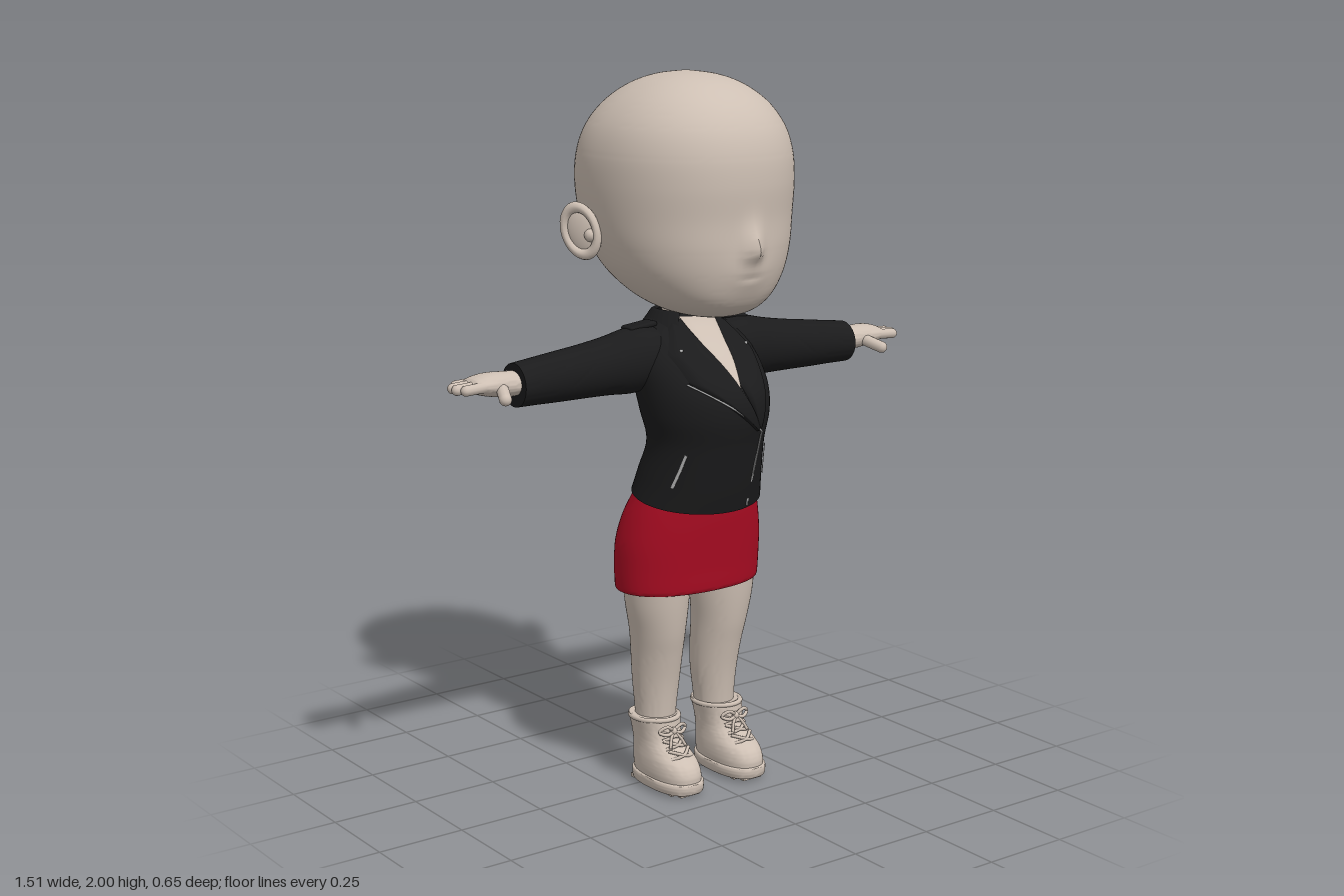
import * as THREE from 'three';
import { toCreasedNormals, mergeGeometries } from 'three/addons/utils/BufferGeometryUtils.js';
import { RoundedBoxGeometry } from 'three/addons/geometries/RoundedBoxGeometry.js';

const paint = (name, color, side = THREE.FrontSide) => {
  const m = new THREE.MeshStandardMaterial({ color, side });
  m.name = name;
  return m;
};

// Smooth blend through rows of numbers, t in 0..1
function sample(rows, t) {
  const n = rows.length - 1, f = Math.min(Math.max(t, 0), 1) * n;
  const i = Math.min(Math.floor(f), n - 1), u = f - i;
  const [a, b, c, d] = [rows[Math.max(i - 1, 0)], rows[i], rows[i + 1], rows[Math.min(i + 2, n)]];
  return b.map((_, k) => b[k] + 0.5 * u * (c[k] - a[k] + u * (2 * a[k] - 5 * b[k] + 4 * c[k] - d[k] + u * (3 * (b[k] - c[k]) + d[k] - a[k]))));
}

// Closed loft going up y; each row is [y, halfWidth, zFront, zBack, xCentre]
function loft(rows, { p = 2, warp, steps = 6, round = 48 } = {}) {
  const full = rows.map(r => [r[0], r[1], r[2], r[3], r[4] || 0]);
  const rings = (rows.length - 1) * steps, pos = [], idx = [];
  const pw = v => Math.sign(v) * Math.abs(v) ** (2 / p);
  for (let j = 0; j <= rings; j++) {
    const [y, rx, zf, zb, cx] = sample(full, j / rings);
    for (let i = 0; i < round; i++) {
      const a = (i / round) * Math.PI * 2;
      const v = new THREE.Vector3(cx + rx * pw(Math.cos(a)), y, (zf + zb) / 2 + (zf - zb) / 2 * pw(Math.sin(a)));
      if (warp) warp(v);
      pos.push(v.x, v.y, v.z);
      const k = (i + 1) % round;
      if (j < rings) {
        const q = j * round, r = q + round;
        idx.push(q + i, r + i, q + k, q + k, r + i, r + k);
      }
    }
  }
  // end caps
  for (const top of [0, 1]) {
    const q = top * rings * round, c = pos.length / 3, m = [0, 0, 0];
    for (let i = 0; i < round; i++) for (let k = 0; k < 3; k++) m[k] += pos[(q + i) * 3 + k] / round;
    pos.push(...m);
    for (let i = 0; i < round; i++) {
      const k = (i + 1) % round;
      idx.push(c, q + (top ? k : i), q + (top ? i : k));
    }
  }
  const g = new THREE.BufferGeometry();
  g.setAttribute('position', new THREE.Float32BufferAttribute(pos, 3));
  g.setIndex(idx);
  return toCreasedNormals(g, 0.9);
}

// Mirror image across x = 0 with the corner order kept outward
function mirrored(geo) {
  const g = geo.index ? geo.toNonIndexed() : geo.clone();
  for (const key of ['position', 'normal']) {
    const at = g.attributes[key];
    for (let i = 0; i < at.count; i += 3) {
      const v = [0, 2, 1].map(k => [-at.getX(i + k), at.getY(i + k), at.getZ(i + k)]);
      v.forEach((w, k) => at.setXYZ(i + k, ...w));
    }
  }
  return g;
}

const merge = list => mergeGeometries(list.map(g => {
  const n = g.index ? g.toNonIndexed() : g;
  n.deleteAttribute('uv');
  return n;
}));
const tube = (pts, r, n = 16) => new THREE.TubeGeometry(new THREE.CatmullRomCurve3(pts.map(q => new THREE.Vector3(...q))), n, r, 8);

const TORSO = [
  [0.85, 0.193, 0.2, -0.105], [0.91, 0.18, 0.22, -0.092], [1.0, 0.166, 0.246, -0.066], [1.08, 0.18, 0.263, -0.09],
  [1.15, 0.186, 0.252, -0.113], [1.22, 0.185, 0.195, -0.118], [1.28, 0.165, 0.12, -0.114], [1.32, 0.115, 0.076, -0.106],
  [1.345, 0.08, 0.058, -0.09]];

// Front surface of the torso at (x, y)
function frontZ(x, y) {
  let lo = 0, hi = 1;
  for (let i = 0; i < 24; i++) {
    const m = (lo + hi) / 2;
    if (sample(TORSO, m)[0] < y) lo = m; else hi = m;
  }
  const [, rx, zf, zb] = sample(TORSO, lo);
  return (zf + zb) / 2 + (zf - zb) / 2 * Math.sqrt(Math.max(0, 1 - (x / rx) ** 2));
}

// Raised cloth strip between two (x, y) edge lines, laid on the torso front
function strip(edgeA, edgeB, lift, base = 0) {
  const g = new THREE.PlaneGeometry(1, 1, 10, (edgeA.length - 1) * 8), at = g.attributes.position;
  const along = (e, t) => {
    const f = t * (e.length - 1), i = Math.min(Math.floor(f), e.length - 2), u = f - i;
    return [0, 1].map(k => e[i][k] + (e[i + 1][k] - e[i][k]) * u);
  };
  for (let i = 0; i < at.count; i++) {
    const u = at.getX(i) + 0.5, t = 0.5 - at.getY(i), a = along(edgeA, t), b = along(edgeB, t);
    const x = a[0] + (b[0] - a[0]) * u, y = a[1] + (b[1] - a[1]) * u;
    at.setXYZ(i, x, y, frontZ(x, y) + base + lift * Math.min(1, u * 10, (1 - u) * 10));
  }
  g.computeVertexNormals();
  return g;
}
const line = (pts, wx, wy, base) => strip(pts.map(([x, y]) => [x - wx, y - wy]), pts.map(([x, y]) => [x + wx, y + wy]), 0.003, base);

export function createModel() {
  const skin = paint('skin', 0xcdbfb3, THREE.DoubleSide), black = paint('blackLeather', 0x1b1b1c, THREE.DoubleSide);
  const red = paint('redCloth', 0xaa0c22), metal = paint('zipMetal', 0xb4b4b4, THREE.DoubleSide);
  const model = new THREE.Group();
  const add = (name, geo, mat) => {
    const m = new THREE.Mesh(geo, mat);
    m.name = name;
    model.add(m);
  };
  const pair = (name, geo, mat) => {
    add(name + 'Left', geo, mat);
    add(name + 'Right', mirrored(geo), mat);
  };

  // head with a small nose and mouth crease
  const bump = (v, y, sx, sy) => Math.exp(-((v.x / sx) ** 2) - ((v.y - y) / sy) ** 2);
  add('head', loft([
    [1.346, 0.004, 0.13, 0.12], [1.352, 0.07, 0.19, 0.03], [1.372, 0.13, 0.238, -0.05], [1.41, 0.186, 0.268, -0.13],
    [1.47, 0.234, 0.286, -0.212], [1.54, 0.262, 0.295, -0.27], [1.62, 0.277, 0.296, -0.307], [1.71, 0.283, 0.302, -0.322],
    [1.79, 0.277, 0.296, -0.312], [1.86, 0.253, 0.272, -0.281], [1.92, 0.207, 0.226, -0.228], [1.965, 0.145, 0.16, -0.158],
    [1.99, 0.078, 0.086, -0.084], [2.0, 0.004, 0.005, -0.005]], {
    p: 2.15, steps: 8, round: 96,
    warp: v => {
      if (v.z < 0.15) return;
      v.z += 0.035 * bump(v, 1.54, 0.028, v.y > 1.54 ? 0.06 : 0.028) + 0.012 * bump(v, 1.48, 0.06, 0.05) - 0.006 * bump(v, 1.468, 0.03, 0.007);
    } }), skin);

  // ears: cupped disc with a rim
  const ear = merge([
    new THREE.SphereGeometry(1, 24, 16).scale(0.018, 0.07, 0.05),
    new THREE.TorusGeometry(0.05, 0.012, 10, 32).rotateY(Math.PI / 2).scale(1.2, 1.3, 0.92).translate(0.01, 0, 0),
    new THREE.SphereGeometry(0.018, 12, 8).translate(0.012, -0.02, 0.025)]);
  pair('ear', ear.rotateX(-0.35).rotateY(-0.55).translate(0.294, 1.58, -0.07), skin);

  add('neck', loft([[1.2, 0.075, 0.06, -0.075], [1.3, 0.066, 0.058, -0.07], [1.4, 0.064, 0.058, -0.07]]), skin);

  // jacket body, its hem dipping at the front
  add('jacketBody', loft(TORSO, { round: 64, warp: v => { v.y -= 0.2 * v.z * Math.min(1, Math.max(0, (1 - v.y) / 0.15)); } }), black);
  add('chest', strip([[-0.062, 1.338], [-0.036, 1.26], [-0.002, 1.165]], [[0.062, 1.338], [0.036, 1.26], [0.002, 1.165]], 0.003, 0.001), skin);
  add('lapelRight', strip([[-0.058, 1.335], [-0.034, 1.26], [0, 1.175], [0.06, 1.05]], [[-0.085, 1.33], [-0.14, 1.25], [-0.125, 1.18], [0.055, 1.04]], 0.012), black);
  add('lapelLeft', strip([[0.058, 1.335], [0.034, 1.26], [0.005, 1.175], [0.05, 1.05]], [[0.085, 1.33], [0.135, 1.25], [0.105, 1.16], [0.07, 1.04]], 0.01), black);
  const collar = [[0.078, 1.3], [0.074, 1.345], [0.08, 1.353], [0.09, 1.348], [0.118, 1.308]].map(q => new THREE.Vector2(...q));
  add('collar', new THREE.LatheGeometry(collar, 40, 0.75, Math.PI * 2 - 1.5).translate(0, 0, -0.012), black);
  pair('shoulderFlap', new RoundedBoxGeometry(0.09, 0.014, 0.05, 3, 0.006).rotateZ(-0.12).translate(0.155, 1.316, -0.005), black);

  // zips and studs
  add('lapelZip', line([[-0.135, 1.18], [0, 1.09], [0.075, 1.035]], 0.0015, 0.0025, 0.008), metal);
  add('frontZip', line([[0.078, 1.035], [0.072, 0.93], [0.064, 0.82]], 0.004, 0, 0.004), metal);
  pair('pocketZip', line([[0.134, 0.985], [0.143, 0.94], [0.155, 0.89]], 0.0025, 0, 0.004), metal);
  pair('lapelStud', new THREE.SphereGeometry(0.005, 10, 8).translate(0.11, 1.26, frontZ(0.11, 1.26) + 0.011), metal);

  // sleeves and cuffs, lofted upward then laid along x
  const sideways = rows => loft(rows.map(([x, cy, ry, rz, cz = 0]) => [x, ry, cz + rz, cz - rz, -cy])).rotateZ(-Math.PI / 2);
  pair('sleeve', sideways([[0.06, 1.235, 0.07, 0.075], [0.15, 1.23, 0.086, 0.088], [0.2, 1.224, 0.089, 0.084], [0.27, 1.218, 0.08, 0.073],
    [0.35, 1.212, 0.073, 0.068], [0.43, 1.207, 0.068, 0.064], [0.5, 1.203, 0.063, 0.062], [0.563, 1.2, 0.059, 0.06, 0.004]]), black);

  // hands: palm, four fingers and a thumb
  const hand = [sideways([[0.54, 1.205, 0.032, 0.042], [0.59, 1.206, 0.034, 0.044], [0.635, 1.21, 0.032, 0.05],
    [0.67, 1.212, 0.026, 0.051], [0.695, 1.212, 0.016, 0.046], [0.702, 1.212, 0.004, 0.03]])];
  hand[0].deleteAttribute('uv');
  [0.73, 0.753, 0.755, 0.742].forEach((tip, i) => {
    const z = -0.037 + i * 0.0245, len = tip - 0.65;
    hand.push(new THREE.CapsuleGeometry(0.0145, len - 0.029, 6, 12).rotateZ(Math.PI / 2 - 0.05).translate(0.65 + len / 2, 1.211, z));
  });
  hand.push(new THREE.CapsuleGeometry(0.017, 0.05, 6, 12).rotateX(Math.PI / 2 + 0.3).rotateY(0.4).translate(0.632, 1.192, 0.066));
  pair('hand', merge(hand), skin);

  add('skirt', loft([[0.576, 0.215, 0.132, -0.125], [0.578, 0.222, 0.14, -0.134], [0.64, 0.224, 0.147, -0.139], [0.71, 0.221, 0.155, -0.138],
    [0.78, 0.206, 0.163, -0.122], [0.84, 0.185, 0.168, -0.095], [0.9, 0.16, 0.17, -0.07]], { p: 2.2, round: 64 }), red);

  pair('leg', loft([[0.14, 0.054, 0.05, -0.06, 0.105], [0.22, 0.058, 0.056, -0.07, 0.103], [0.3, 0.065, 0.066, -0.079, 0.102],
    [0.38, 0.07, 0.082, -0.08, 0.104], [0.45, 0.076, 0.098, -0.077, 0.108], [0.53, 0.087, 0.11, -0.082, 0.112], [0.62, 0.093, 0.118, -0.09, 0.114]]), skin);

  // boots with sole, tread, top rim and laces
  const bx = 0.11, shift = rows => rows.map(r => [...r, bx]);
  pair('boot', loft(shift([[0.025, 0.064, 0.182, -0.058], [0.055, 0.067, 0.184, -0.064], [0.085, 0.065, 0.168, -0.066], [0.11, 0.061, 0.13, -0.066],
    [0.135, 0.059, 0.097, -0.067], [0.165, 0.061, 0.082, -0.072], [0.198, 0.065, 0.076, -0.08], [0.2, 0.056, 0.066, -0.072]]), { p: 2.4 }), skin);
  pair('sole', loft(shift([[0.008, 0.064, 0.182, -0.06], [0.012, 0.07, 0.189, -0.065], [0.036, 0.071, 0.191, -0.067], [0.04, 0.066, 0.186, -0.063]]), { p: 2.5 }), skin);
  pair('bootTop', new THREE.TorusGeometry(0.064, 0.007, 8, 40).rotateX(Math.PI / 2).scale(1, 1, 1.2).rotateX(-0.05).translate(bx, 0.194, -0.002), skin);
  const tread = [], laces = [];
  for (let i = 0; i < 9; i++) {
    const z = -0.045 + i * 0.026, w = i === 8 ? 0.07 : 0.1;
    for (const s of [-1, 1]) tread.push(new THREE.BoxGeometry(w / 2 - 0.006, 0.012, 0.014).translate(bx + s * w / 4, 0.006, z));
  }
  pair('tread', merge(tread), skin);
  [[0.108, 0.134], [0.13, 0.106], [0.152, 0.091]].forEach(([y, z]) => {
    for (const s of [-1, 1]) laces.push(tube([[bx - s * 0.034, y - 0.008, z - 0.006], [bx, y + 0.004, z + 0.006], [bx + s * 0.034, y + 0.014, z - 0.02]], 0.005));
  });
  for (const s of [-1, 1]) {
    laces.push(tube([[bx, 0.17, 0.09], [bx + s * 0.025, 0.186, 0.094], [bx + s * 0.045, 0.172, 0.084], [bx + s * 0.025, 0.162, 0.094], [bx, 0.168, 0.092]], 0.005, 24));
    laces.push(tube([[bx, 0.168, 0.09], [bx + s * 0.016, 0.15, 0.102], [bx + s * 0.026, 0.128, 0.112]], 0.0045));
  }
  laces.push(new THREE.SphereGeometry(0.011, 12, 8).translate(bx, 0.169, 0.09));
  pair('laces', merge(laces), skin);

  return model;
}
